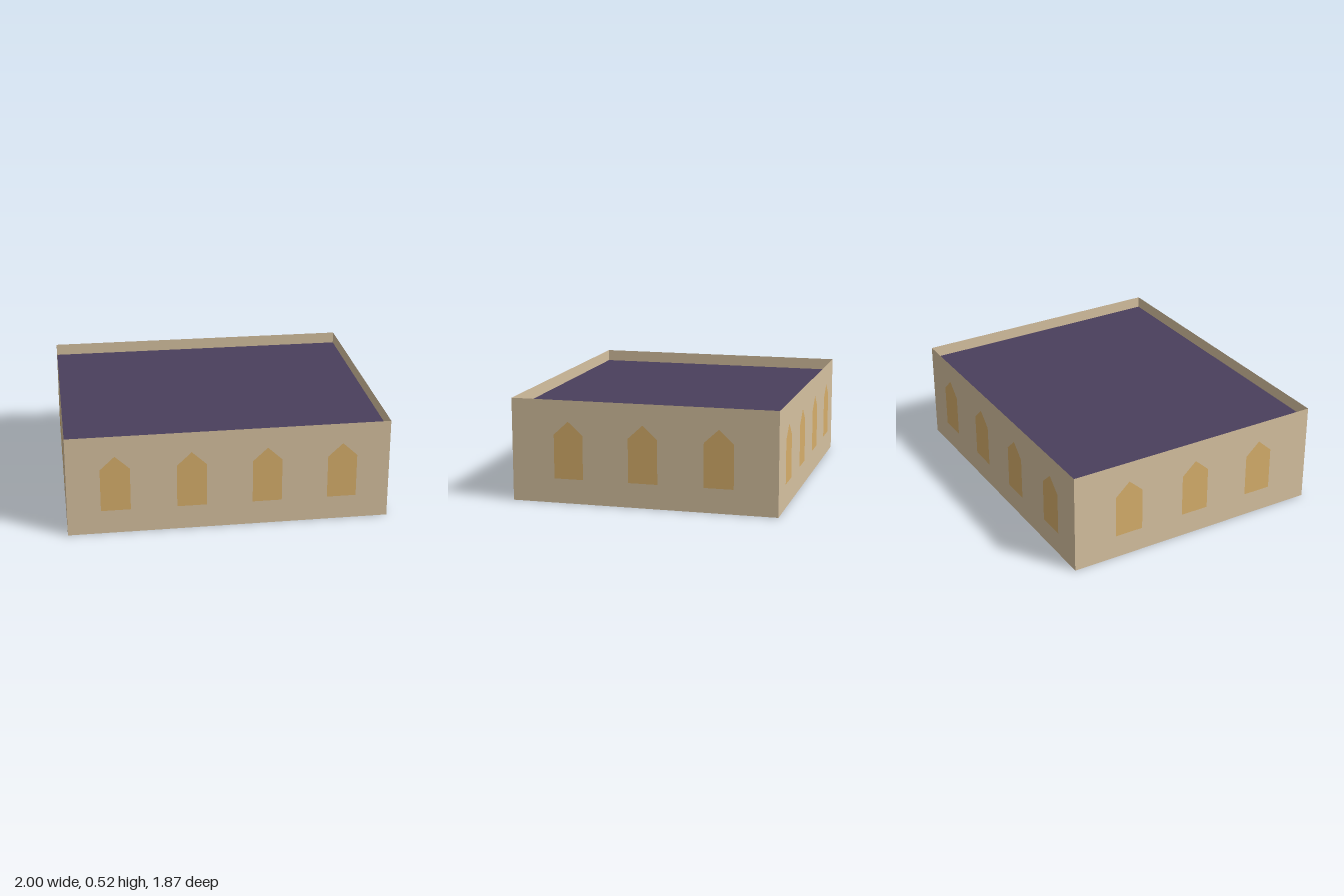
import * as THREE from 'three';

const HEIGHT = 0.518;
const ROOF_Y = 0.457;
const WINDOW_SPACING = 0.379;

// Footprint corners (x, z), counter-clockwise from the front corner
const CORNERS = [[-0.49, 0.935], [1, 0.304], [0.487, -0.936], [-1, -0.325]];
const WINDOWS_PER_WALL = [4, 3, 4, 3];

export function createModel() {
  const wallMat = new THREE.MeshStandardMaterial({ color: 0xd6c1a0, side: THREE.DoubleSide });
  wallMat.name = 'sandstone';
  const roofMat = new THREE.MeshStandardMaterial({ color: 0x4a3f5c, side: THREE.DoubleSide });
  roofMat.name = 'purple slate';
  const windowMat = new THREE.MeshStandardMaterial({ color: 0xd7af6b });
  windowMat.name = 'amber glass';

  const model = new THREE.Group();
  model.name = 'building';

  // Pointed window pane, one-sided and facing outwards
  const pane = new THREE.ShapeGeometry(new THREE.Shape([
    [-0.074, 0.124], [0.074, 0.124], [0.074, 0.345], [0, 0.413], [-0.074, 0.345],
  ].map(([x, y]) => new THREE.Vector2(x, y))));

  // Thin walls, each with a centred row of windows
  CORNERS.forEach(([x0, z0], i) => {
    const [x1, z1] = CORNERS[(i + 1) % CORNERS.length];
    const length = Math.hypot(x1 - x0, z1 - z0);
    const side = new THREE.Group();
    side.name = ['frontSide', 'rightSide', 'backSide', 'leftSide'][i];
    side.position.set((x0 + x1) / 2, 0, (z0 + z1) / 2);
    side.rotation.y = Math.atan2(z0 - z1, x1 - x0);

    const wall = new THREE.Mesh(new THREE.PlaneGeometry(length, HEIGHT), wallMat);
    wall.name = 'wall';
    wall.position.y = HEIGHT / 2;
    side.add(wall);

    const count = WINDOWS_PER_WALL[i];
    for (let k = 0; k < count; k++) {
      const glass = new THREE.Mesh(pane, windowMat);
      glass.name = 'window';
      glass.position.set((k - (count - 1) / 2) * WINDOW_SPACING, 0, 0.003);
      side.add(glass);
    }
    model.add(side);
  });

  // Flat roof, sunk a little below the wall tops
  const outline = new THREE.Shape(CORNERS.map(([x, z]) => new THREE.Vector2(x, -z)));
  const roof = new THREE.Mesh(new THREE.ShapeGeometry(outline).rotateX(-Math.PI / 2), roofMat);
  roof.name = 'roof';
  roof.position.y = ROOF_Y;
  model.add(roof);

  return model;
}
